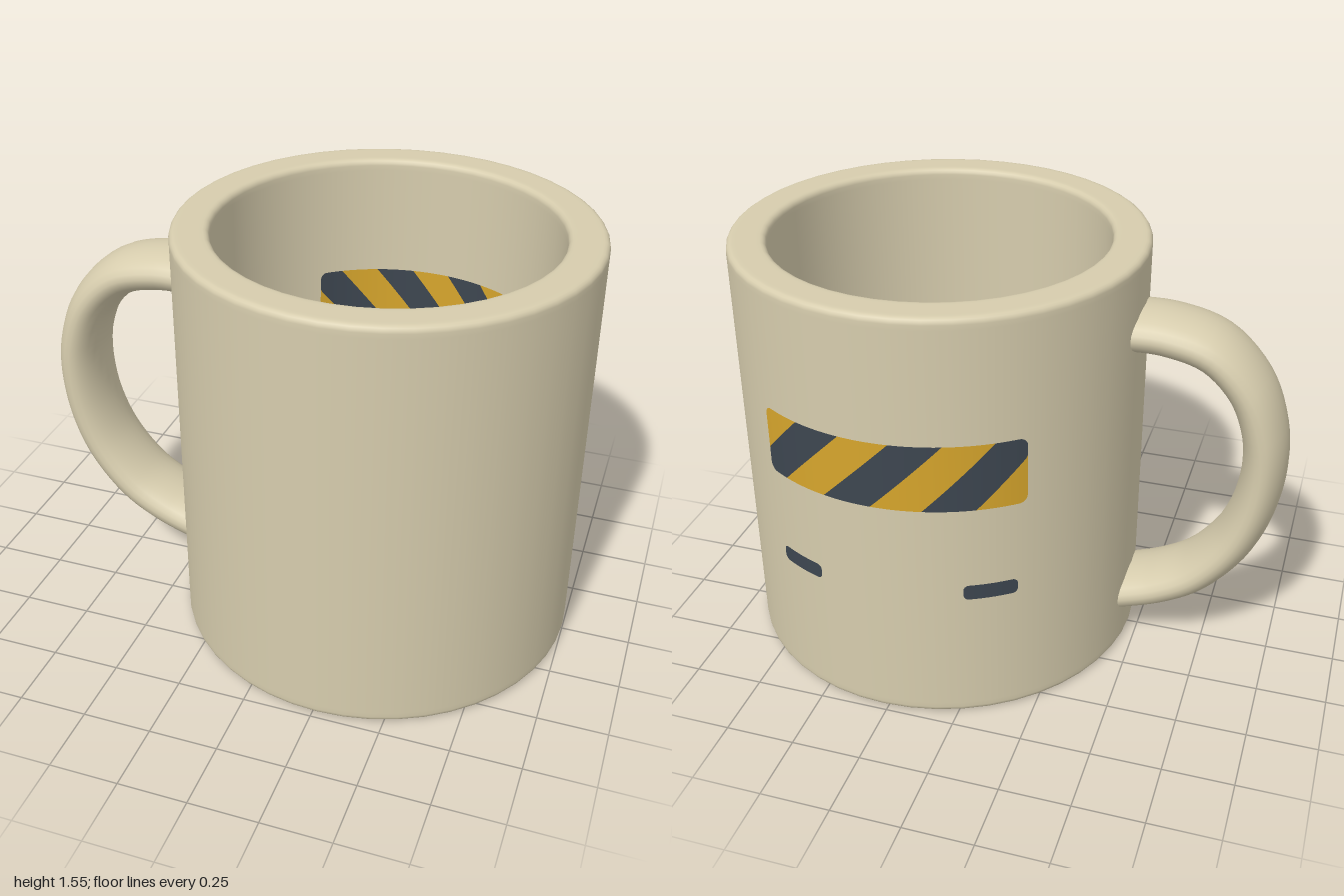
import * as THREE from 'three';

const CX = 0.267;      // axis of the cup
const R_OUT = 0.733;
const R_IN = 0.597;
const H = 1.55;
const DEG = Math.PI / 180;

// Curved patch on the cup wall. s is the angle in degrees across the back face,
// lean gives the edges c0..c1 a 45 degree slope, r rounds the outer corners.
function wallPatch({ s0, s1, y0, y1, r, c0 = -999, c1 = 999, lean = 0, radius, inside }) {
  const rows = 32, cols = 12, pos = [], nor = [], idx = [];
  const sign = inside ? -1 : 1;
  for (let j = 0; j <= rows; j++) {
    const y = y1 - (y1 - y0) * (0.5 - 0.5 * Math.cos(Math.PI * j / rows));
    const d = Math.min(y1 - y, y - y0, r);
    const inset = (r - Math.sqrt(Math.max(0, r * r - (r - d) ** 2))) / R_OUT / DEG;
    const lo = s0 + inset, hi = s1 - inset, shift = lean * (y1 - y);
    const a = THREE.MathUtils.clamp(c0 - shift, lo, hi);
    const b = THREE.MathUtils.clamp(c1 - shift, lo, hi);
    for (let i = 0; i <= cols; i++) {
      const s = (a + (b - a) * i / cols) * DEG;
      pos.push(CX - radius * Math.sin(s), y, -radius * Math.cos(s));
      nor.push(-sign * Math.sin(s), 0, -sign * Math.cos(s));
      if (j < rows && i < cols) {
        const p = j * (cols + 1) + i, q = p + cols + 1;
        if (inside) idx.push(p, q + 1, q, p, p + 1, q + 1);
        else idx.push(p, q, q + 1, p, q + 1, p + 1);
      }
    }
  }
  const g = new THREE.BufferGeometry();
  g.setAttribute('position', new THREE.Float32BufferAttribute(pos, 3));
  g.setAttribute('normal', new THREE.Float32BufferAttribute(nor, 3));
  g.setIndex(idx);
  return g;
}

export function createModel() {
  const group = new THREE.Group();
  const material = (name, color) => {
    const m = new THREE.MeshStandardMaterial({ color });
    m.name = name;
    return m;
  };
  const cream = material('cream', 0xd6ccad);
  const yellow = material('yellow', 0xd6a52c);
  const slate = material('slate', 0x3d4650);
  const add = (name, geometry, mat) => {
    const mesh = new THREE.Mesh(geometry, mat);
    mesh.name = name;
    group.add(mesh);
    return mesh;
  };

  // Cup: recessed base, outer wall, rim, inner wall and floor in one profile
  const profile = [];
  const point = (x, y) => profile.push(new THREE.Vector2(x, y));
  const fillet = (x, y, r, from, to, n = 4) => {
    for (let i = 0; i <= n; i++) {
      const a = (from + (to - from) * i / n) * DEG;
      point(x + r * Math.cos(a), y + r * Math.sin(a));
    }
  };
  point(0, 0.08);
  point(0.535, 0.08);
  fillet(0.55, 0.04, 0.04, 90, 0);
  fillet(0.612, 0.015, 0.015, 180, 270);
  point(0.63, 0);
  point(R_OUT - 0.035, 0);
  fillet(R_OUT - 0.022, 0.022, 0.022, -90, 0);
  point(R_OUT, 0.04);
  point(R_OUT, H - 0.04);
  fillet(R_OUT - 0.022, H - 0.022, 0.022, 0, 90);
  point(R_OUT - 0.035, H);
  point(R_IN + 0.035, H);
  fillet(R_IN + 0.022, H - 0.022, 0.022, 90, 180);
  point(R_IN, H - 0.04);
  point(R_IN, 0.24);
  fillet(R_IN - 0.06, 0.22, 0.06, 0, -90);
  point(R_IN - 0.08, 0.16);
  point(0, 0.16);
  add('cup', new THREE.LatheGeometry(profile, 48), cream).position.x = CX;

  // Handle: a round tube widened sideways into an oval section
  const path = new THREE.CatmullRomCurve3([
    [-0.41, 1.282], [-0.56, 1.28], [-0.72, 1.235], [-0.845, 1.11], [-0.908, 0.95],
    [-0.921, 0.8], [-0.895, 0.63], [-0.83, 0.475], [-0.71, 0.33], [-0.58, 0.25],
    [-0.46, 0.205], [-0.41, 0.19],
  ].map(([x, y]) => new THREE.Vector3(x, y, 0)));
  const tube = new THREE.TubeGeometry(path, 48, 0.079, 24, false);
  tube.scale(1, 1, 1.9);
  add('handle', tube, cream);

  // Painted marks, present on both faces of the wall
  for (const inside of [false, true]) {
    const side = inside ? 'inner' : 'outer';
    const radius = inside ? R_IN - 0.006 : R_OUT + 0.003;

    // Band of alternating slanted stripes
    const edges = [-99, -21.5, -8, 5.5, 19, 32.5, 46.5, 99];
    for (let i = 0; i < edges.length - 1; i++) {
      const geometry = wallPatch({
        s0: -34, s1: 41, y0: 0.86, y1: 1.105, r: 0.03,
        c0: edges[i], c1: edges[i + 1], lean: 1 / R_OUT / DEG, radius, inside,
      });
      add(`${side}Stripe${i + 1}`, geometry, i % 2 ? slate : yellow);
    }

    // Two short dashes below the band
    for (const dir of [-1, 1]) {
      const mid = 3.4 + dir * 27.5;
      const geometry = wallPatch({
        s0: mid - 7.4, s1: mid + 7.4, y0: 0.5, y1: 0.558, r: 0.02, radius, inside,
      });
      add(`${side}Dash${dir < 0 ? 'Left' : 'Right'}`, geometry, slate);
    }
  }
  return group;
}
